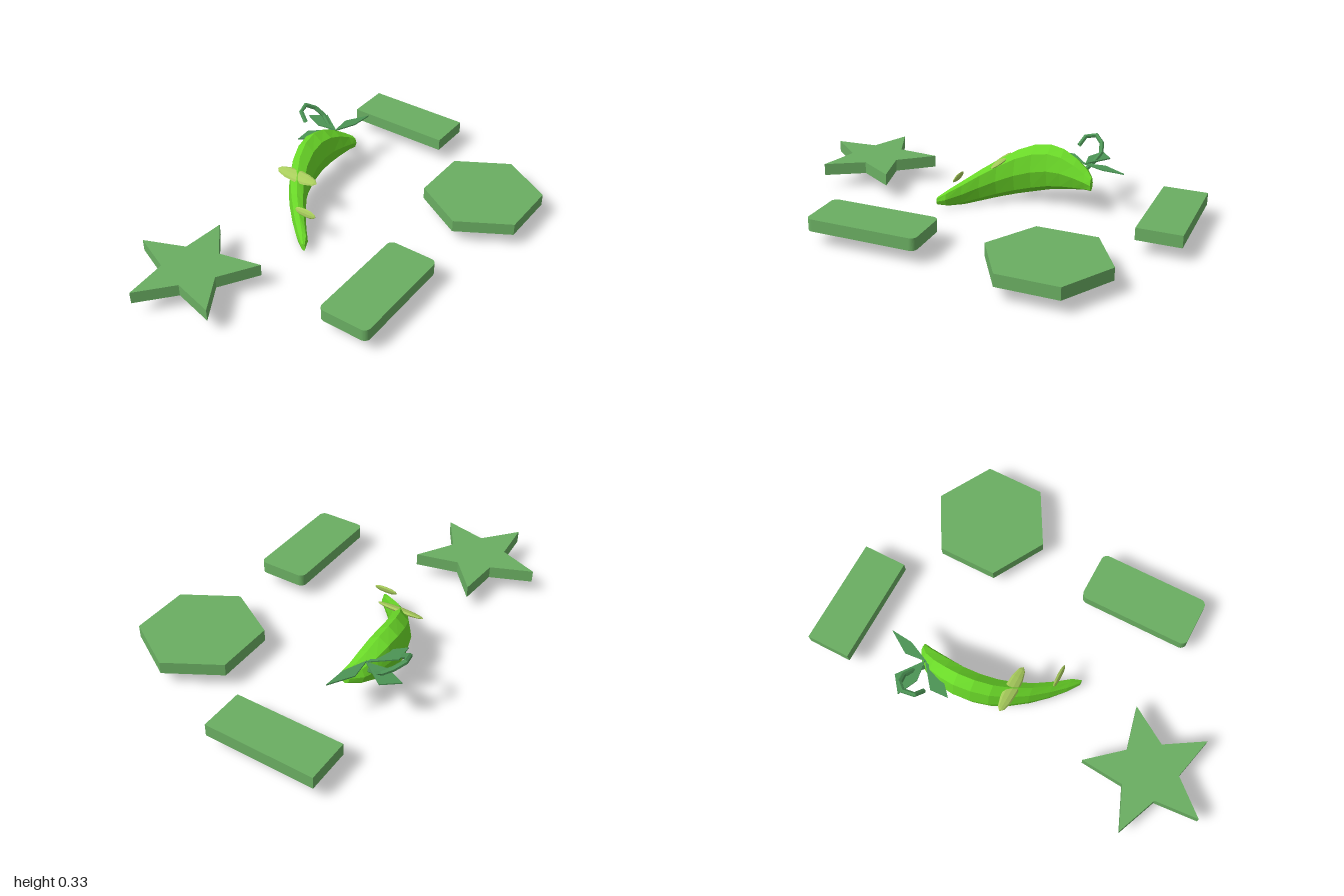
import * as THREE from 'three';

const mat = (color, extra = {}) => new THREE.MeshStandardMaterial({ color, flatShading: true, ...extra });

function add(parent, name, geometry, material) {
  const mesh = new THREE.Mesh(geometry, material);
  mesh.name = name;
  parent.add(mesh);
  return mesh;
}

// Flat plate lying on the ground plane, extruded upwards from a shape
function plate(shape) {
  const g = new THREE.ExtrudeGeometry(shape, { depth: 0.06, bevelEnabled: false, curveSegments: 5 });
  g.rotateX(-Math.PI / 2);
  return g.translate(0, 0.07, 0);
}

// Polygon (or star, when the radii differ) from alternating radii
function radialShape(n, r1, r2, start) {
  const pts = [];
  for (let i = 0; i < n; i++) {
    const a = start + (i / n) * Math.PI * 2;
    const r = i % 2 ? r2 : r1;
    pts.push(new THREE.Vector2(Math.cos(a) * r, Math.sin(a) * r));
  }
  return new THREE.Shape(pts);
}

function roundedRect(w, h, r) {
  const s = new THREE.Shape(), x = w / 2 - r, y = h / 2 - r;
  s.absarc(x, y, r, 0, Math.PI / 2);
  s.absarc(-x, y, r, Math.PI / 2, Math.PI);
  s.absarc(-x, -y, r, Math.PI, Math.PI * 1.5);
  s.absarc(x, -y, r, Math.PI * 1.5, Math.PI * 2);
  s.closePath();
  return s;
}

// Eight-sided loft through stations [x, yTop, yBottom, zBack, zFront]
function loft(stations, sides) {
  const pos = [], idx = [];
  for (const [x, yt, yb, zb, zf] of stations) {
    for (let j = 0; j < sides; j++) {
      const a = (j / sides) * Math.PI * 2;
      pos.push(x, (yt + yb) / 2 + Math.cos(a) * (yt - yb) / 2, (zb + zf) / 2 + Math.sin(a) * (zf - zb) / 2);
    }
  }
  const last = stations.length - 1;
  for (let i = 0; i < last; i++) {
    for (let j = 0; j < sides; j++) {
      const k = (j + 1) % sides, a = i * sides, b = a + sides;
      idx.push(a + j, a + k, b + j, b + j, a + k, b + k);
    }
  }
  for (let j = 1; j < sides - 1; j++) {
    idx.push(0, j + 1, j, last * sides, last * sides + j, last * sides + j + 1);
  }
  const g = new THREE.BufferGeometry();
  g.setAttribute('position', new THREE.Float32BufferAttribute(pos, 3));
  g.setIndex(idx);
  g.computeVertexNormals();
  return g;
}

export function createModel() {
  const model = new THREE.Group();
  const plateMat = mat(0x6aae62), podMat = mat(0x6ad828);
  const paleMat = mat(0xa8cc5c), leafMat = mat(0x4c9455, { side: THREE.DoubleSide });

  // Four plates around the pod
  add(model, 'starPlate', plate(radialShape(10, 0.305, 0.137, Math.PI / 2)), plateMat).position.set(-0.71, 0, -0.363);
  add(model, 'hexagonPlate', plate(radialShape(6, 0.288, 0.288, 0)), plateMat).position.set(0.523, 0, 0.415);
  add(model, 'roundedPlate', plate(roundedRect(0.55, 0.25, 0.03)), plateMat).position.set(-0.33, 0, 0.382);
  add(model, 'rectanglePlate', new THREE.BoxGeometry(0.215, 0.06, 0.53), plateMat).position.set(0.892, 0.1, -0.26);

  // Curved pod
  const pod = new THREE.Group();
  pod.name = 'pod';
  model.add(pod);
  add(pod, 'podBody', loft([
    [-0.24, 0.06, 0.02, -0.12, -0.095],
    [-0.2, 0.09, 0.006, -0.18, -0.11],
    [-0.14, 0.13, 0.0, -0.25, -0.165],
    [-0.07, 0.178, 0.008, -0.322, -0.222],
    [0.0, 0.222, 0.02, -0.38, -0.268],
    [0.08, 0.268, 0.034, -0.43, -0.305],
    [0.16, 0.298, 0.05, -0.458, -0.326],
    [0.24, 0.308, 0.07, -0.47, -0.333],
    [0.31, 0.296, 0.085, -0.464, -0.33],
    [0.38, 0.262, 0.1, -0.445, -0.323],
    [0.44, 0.222, 0.115, -0.408, -0.316],
    [0.475, 0.195, 0.125, -0.356, -0.309],
  ], 8), podMat);

  // Pale seeds poking through the pod
  for (const [x, y, z, w, t, l, tilt] of [
    [0.008, 0.213, -0.33, 0.034, 0.011, 0.118, 0.45],
    [-0.15, 0.162, -0.16, 0.021, 0.008, 0.06, 1.3],
  ]) {
    const seed = add(pod, 'seed', new THREE.SphereGeometry(1, 8, 6).rotateX(Math.PI / 2), paleMat);
    seed.scale.set(w, t, l);
    seed.position.set(x, y, z);
    seed.rotation.z = tilt;
  }

  // Kite-shaped leaves at the stem end, as [x, z] corners
  const leaves = [
    [[0.42, -0.4], [0.33, -0.51], [0.24, -0.505], [0.3, -0.44]],
    [[0.41, -0.4], [0.52, -0.41], [0.63, -0.34], [0.52, -0.35]],
    [[0.42, -0.4], [0.51, -0.52], [0.45, -0.595], [0.405, -0.5]],
  ];
  for (const corners of leaves) {
    const shape = new THREE.Shape(corners.map(([x, z]) => new THREE.Vector2(x, -z)));
    const g = new THREE.ExtrudeGeometry(shape, { depth: 0.006, bevelEnabled: false });
    add(pod, 'stemLeaf', g.rotateX(-Math.PI / 2), leafMat).position.y = 0.231;
  }

  // Hooked stem
  const path = new THREE.CatmullRomCurve3([
    [0.42, 0.2, -0.42], [0.465, 0.262, -0.51], [0.43, 0.317, -0.582], [0.372, 0.318, -0.585], [0.343, 0.275, -0.535],
  ].map((p) => new THREE.Vector3(...p)));
  add(pod, 'stem', new THREE.TubeGeometry(path, 6, 0.012, 6), leafMat);
  return model;
}
